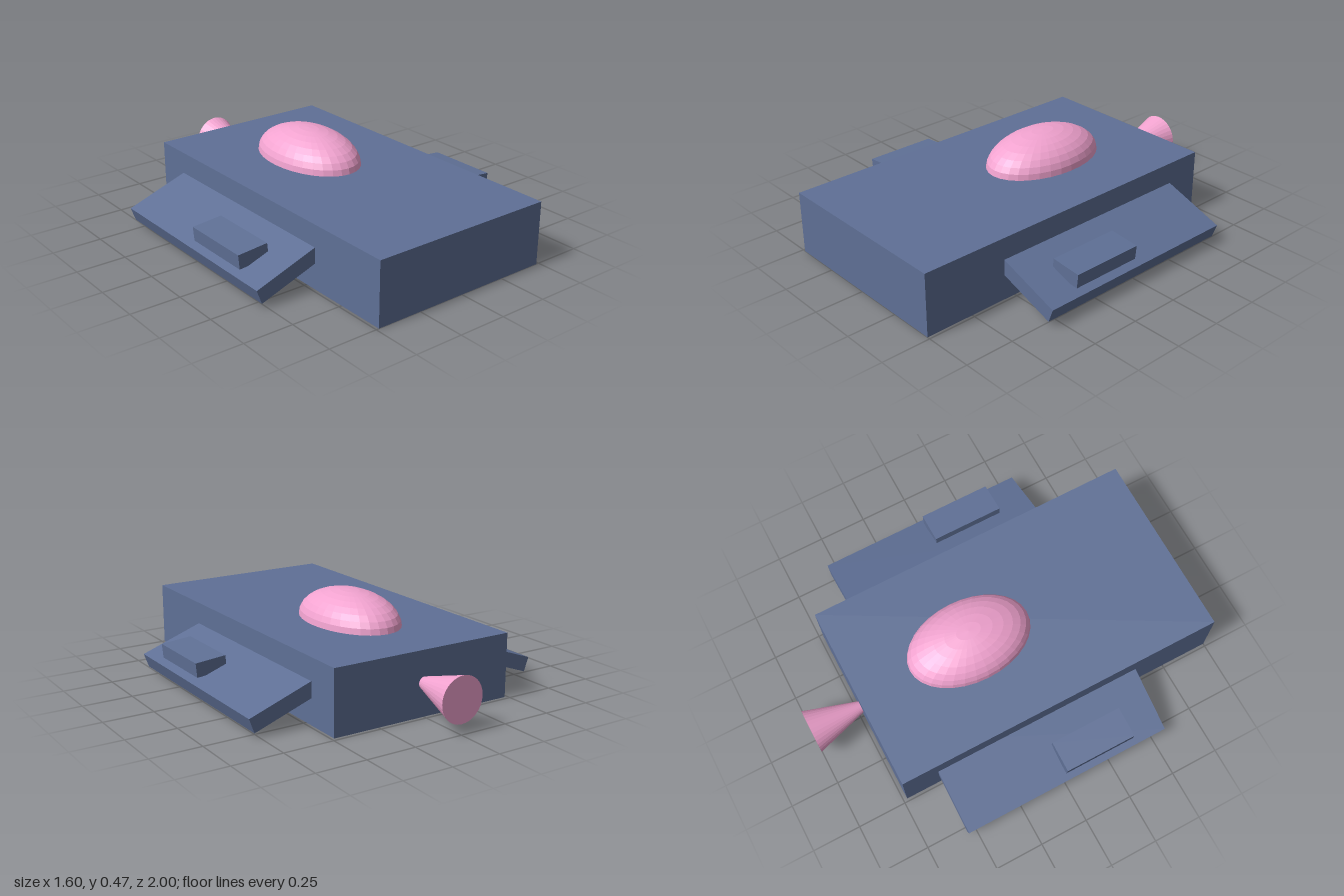
import * as THREE from 'three';

const hull = new THREE.MeshStandardMaterial({ color: 0x5f7096 });
const pink = new THREE.MeshStandardMaterial({ color: 0xf2a3d0, flatShading: true });

function add(parent, name, geometry, material, x, y, z) {
  const mesh = new THREE.Mesh(geometry, material);
  mesh.name = name;
  mesh.position.set(x, y, z);
  parent.add(mesh);
  return mesh;
}

export function createModel() {
  const model = new THREE.Group();
  model.name = 'spacecraft';

  // Slab body standing on the ground
  add(model, 'body', new THREE.BoxGeometry(0.97, 0.32, 1.73), hull, 0, 0.16, 0.135);

  // Domed canopy, half sunk into the body
  const canopy = add(model, 'canopy', new THREE.SphereGeometry(1, 32, 16), pink, 0, 0.32, -0.12);
  canopy.scale.set(0.212, 0.15, 0.326);

  // Engine cone, tip buried in the body and wide end facing back
  const engine = add(model, 'engineCone', new THREE.ConeGeometry(0.112, 0.37, 32), pink, 0, 0.163, -0.815);
  engine.rotation.x = Math.PI / 2;

  // Drooping wings, each with a pod on top
  const droop = 0.345, span = 0.5;
  for (const side of [1, -1]) {
    const name = side > 0 ? 'left' : 'right';
    const x = 0.787 - Math.cos(droop) * span / 2;
    const y = 0.06 + Math.sin(droop) * span / 2;
    const wing = add(model, name + 'Wing', new THREE.BoxGeometry(span, 0.075, 1.105), hull, side * x, y, 0.0075);
    wing.rotation.z = -side * droop;
    const pod = add(model, name + 'Pod', new THREE.BoxGeometry(0.157, 0.072, 0.375), hull, side * 0.694, 0.161, 0.198);
    pod.rotation.z = -side * 0.09;
  }
  return model;
}
